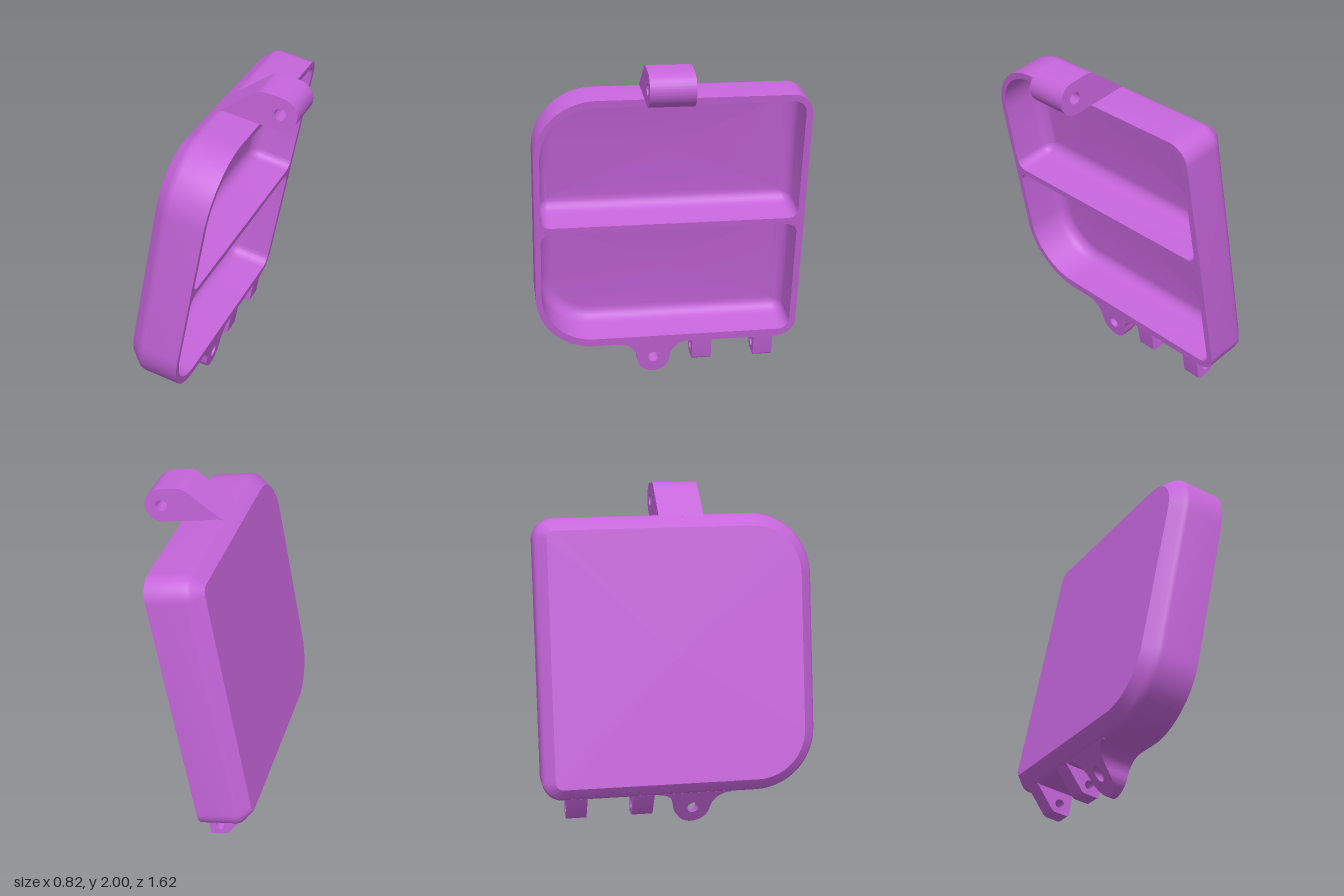
import * as THREE from 'three';
import { toCreasedNormals } from 'three/addons/utils/BufferGeometryUtils.js';

const TILT = 0.192;
const material = new THREE.MeshStandardMaterial({ color: 0xc565da });

function addMesh(parent, name, geometry) {
  const flat = geometry.index ? geometry.toNonIndexed() : geometry;
  const mesh = new THREE.Mesh(toCreasedNormals(flat, 0.5), material);
  mesh.name = name;
  parent.add(mesh);
  return mesh;
}

// Counter-clockwise rounded rectangle; radii: bottom left, bottom right, top right, top left
function outline({ x0, x1, y0, y1, radii }, inset = 0) {
  const steps = 14;
  const corners = [[x0, y0, 1, 1], [x1, y0, -1, 1], [x1, y1, -1, -1], [x0, y1, 1, -1]];
  const points = [];
  corners.forEach(([x, y, sx, sy], c) => {
    const r = Math.max(radii[c] - inset, 0.012);
    const cx = x + sx * (inset + r), cy = y + sy * (inset + r);
    for (let i = 0; i <= steps; i++) {
      const a = Math.PI + (c + i / steps) * Math.PI / 2;
      points.push(new THREE.Vector2(cx + r * Math.cos(a), cy + r * Math.sin(a)));
    }
  });
  return points;
}

// Skin through rings given as [inset, z]; an inset of null closes to the centre
function loft(rect, profile) {
  const cx = (rect.x0 + rect.x1) / 2, cy = (rect.y0 + rect.y1) / 2;
  const rings = profile.map(([inset, z]) =>
    outline(rect, inset ?? 0).map(p => inset === null
      ? new THREE.Vector3(cx, cy, z) : new THREE.Vector3(p.x, p.y, z)));
  const positions = [];
  const triangle = (a, b, c) => {
    if (new THREE.Triangle(a, b, c).getArea() > 1e-9) {
      for (const p of [a, b, c]) positions.push(p.x, p.y, p.z);
    }
  };
  for (let k = 0; k < rings.length - 1; k++) {
    const b = rings[k], a = rings[k + 1];
    for (let i = 0; i < b.length; i++) {
      const j = (i + 1) % b.length;
      triangle(b[i], b[j], a[j]);
      triangle(b[i], a[j], a[i]);
    }
  }
  const geometry = new THREE.BufferGeometry();
  geometry.setAttribute('position', new THREE.Float32BufferAttribute(positions, 3));
  geometry.computeVertexNormals();
  return geometry;
}

function roundHole(x, y, r) {
  return new THREE.Path().absarc(x, y, r, 0, Math.PI * 2, true);
}

export function createModel() {
  const model = new THREE.Group();
  model.name = 'compartmentCover';

  // Leaning frame: x = out of the open face, y = up the cover
  const cover = new THREE.Group();
  cover.name = 'cover';
  cover.rotation.z = -TILT;
  cover.position.set(-0.157 * Math.cos(TILT), 0.157 * Math.sin(TILT), 0);
  model.add(cover);

  // Tray frame: drawn in x-y with the open face towards z
  const tray = new THREE.Group();
  tray.name = 'tray';
  tray.rotation.y = Math.PI / 2;
  cover.add(tray);

  // Outer shell with a chamfered back
  const body = { x0: -0.81, x1: 0.81, y0: 0.174, y1: 1.804, radii: [0.36, 0.12, 0.12, 0.36] };
  addMesh(tray, 'shell', loft(body,
    [[null, -0.31], [0.075, -0.31], [0.02, -0.255], [0.006, -0.238], [0, -0.215], [0, 0]]));

  // Two pockets with filleted floors
  const pockets = [
    { x0: -0.775, x1: 0.77, y0: 0.224, y1: 0.967, radii: [0.32, 0.07, 0.06, 0.06] },
    { x0: -0.775, x1: 0.77, y0: 1.008, y1: 1.762, radii: [0.06, 0.06, 0.07, 0.32] },
  ];
  const depth = 0.27, fillet = 0.08;
  const pocketProfile = [[0, 0]];
  for (let i = 0; i <= 8; i++) {
    const a = i / 8 * Math.PI / 2;
    pocketProfile.push([fillet * (1 - Math.cos(a)), fillet - depth - fillet * Math.sin(a)]);
  }
  pocketProfile.push([null, -depth]);
  pockets.forEach((p, i) => addMesh(tray, i ? 'upperPocket' : 'lowerPocket', loft(p, pocketProfile)));

  // Front rim and divider
  const rim = new THREE.Shape(outline(body));
  rim.holes = pockets.map(p => new THREE.Path(outline(p)));
  addMesh(tray, 'rim', new THREE.ShapeGeometry(rim));

  // Screw ear flowing out of the lower edge, its back cut at 45 degrees
  const ex = -0.085, ey = 0.071, reach = 0.215, blend = 0.113, t = 0.047;
  const ear = new THREE.Shape();
  ear.moveTo(ex - reach, 0.18);
  ear.lineTo(ex - reach, 0.174);
  ear.absarc(ex - reach, 0.174 - blend, blend, Math.PI / 2, t, true);
  ear.absarc(ex, ey, 0.102, Math.PI + t, Math.PI * 2 - t, false);
  ear.absarc(ex + reach, 0.174 - blend, blend, Math.PI - t, Math.PI / 2, true);
  ear.lineTo(ex + reach, 0.18);
  ear.holes.push(roundHole(ex, ey, 0.035));
  const earGeometry = new THREE.ExtrudeGeometry(ear, { depth: 1, bevelEnabled: false, curveSegments: 20 });
  const pos = earGeometry.attributes.position;
  for (let i = 0; i < pos.count; i++) {
    pos.setZ(i, (pos.getZ(i) - 1) * (pos.getY(i) + 0.061));
  }
  addMesh(tray, 'screwEar', earGeometry);

  // Side-profile parts, extruded across the cover
  const across = (name, shape, z0, z1) => {
    const geometry = new THREE.ExtrudeGeometry(shape, { depth: z1 - z0, bevelEnabled: false, curveSegments: 24 });
    addMesh(cover, name, geometry.translate(0, 0, z0));
  };

  // Two wedge prongs with pin holes
  const prong = new THREE.Shape();
  prong.moveTo(0, 0.18);
  prong.lineTo(-0.241, 0.18);
  prong.lineTo(-0.115, 0.054);
  prong.quadraticCurveTo(-0.101, 0.041, -0.085, 0.041);
  prong.lineTo(-0.012, 0.041);
  prong.quadraticCurveTo(0, 0.041, 0, 0.053);
  prong.holes.push(roundHole(-0.07, 0.1, 0.028));
  across('innerProng', prong, -0.28, -0.157);
  across('outerProng', prong, -0.67, -0.55);

  // Hinge arm rising from the back chamfer to a rounded eye
  const arm = new THREE.Shape();
  arm.moveTo(-0.249, 1.79);
  arm.lineTo(-0.02, 1.79);
  arm.lineTo(-0.02, 1.805);
  arm.absarc(0.102, 1.905, 0.1, -Math.PI / 2, Math.PI / 2, false);
  arm.lineTo(0.005, 2.005);
  arm.quadraticCurveTo(-0.034, 2.005, -0.062, 1.977);
  arm.holes.push(roundHole(0.102, 1.905, 0.035));
  across('hingeArm', arm, -0.085, 0.177);

  return model;
}
